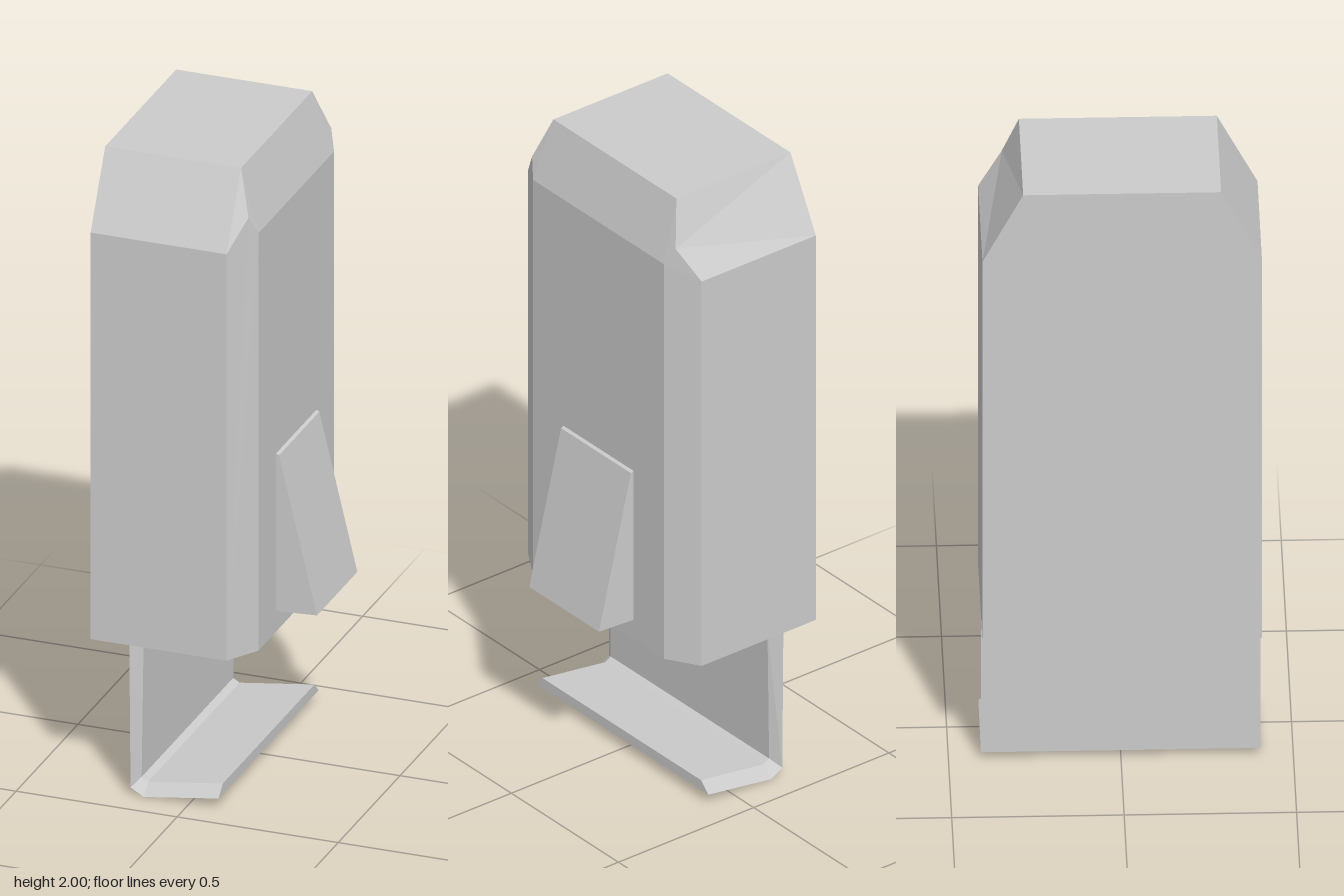
import * as THREE from 'three';

const material = new THREE.MeshStandardMaterial({ color: 0xcccccc, flatShading: true });

// Flat-faced solid from convex polygons, each fanned from its first corner
function facetedMesh(name, polygons) {
  const pos = [];
  for (const p of polygons)
    for (let i = 1; i < p.length - 1; i++) pos.push(...p[0], ...p[i], ...p[i + 1]);
  const geo = new THREE.BufferGeometry();
  geo.setAttribute('position', new THREE.Float32BufferAttribute(pos, 3));
  geo.computeVertexNormals();
  const mesh = new THREE.Mesh(geo, material);
  mesh.name = name;
  return mesh;
}

const flip = ([x, y, z]) => [x, y, -z];
const mirrored = (polys) => [...polys, ...polys.map((p) => p.map(flip).reverse())];

// Tall housing with chamfered outer corners and sloped shoulders
function housing() {
  const P = [-0.305, 0.48, 0.405], Q = [0.117, 0.48, 0.405], R = [0.178, 0.48, 0.305];
  const P1 = [-0.305, 1.775, 0.405], Q1 = [0.117, 1.775, 0.405], R1 = [0.178, 1.81, 0.305];
  const A = [0.158, 1.868, 0.335], T = [0.117, 2, 0.287], U = [-0.305, 2, 0.287];
  const sides = mirrored([
    [P, Q, Q1, P1],      // side wall
    [T, U, P1, Q1, A],   // shoulder
    [Q, R, R1, A, Q1],   // corner chamfer
    [T, A, R1],          // corner facet
  ]);
  return facetedMesh('housing', [
    ...sides,
    [R, flip(R), flip(R1), R1],
    [R1, flip(R1), flip(T), T],
    [U, T, flip(T), flip(U)],
    [P, P1, U, flip(U), flip(P1), flip(P)],
    [P, flip(P), flip(Q), flip(R), R, Q],
  ]);
}

// Bent plate below the housing, with bevelled ends
function tray() {
  const outer = [[-0.185, 0.48], [-0.181, 0.028], [-0.14, 0.004], [0.092, 0.037]];
  const inner = [[-0.154, 0.48], [-0.16, 0.05], [-0.14, 0.038], [0.092, 0.07]];
  const O = outer.map(([x, y]) => [x, y, 0.405]);
  const N = inner.map(([x, y]) => [x, y, 0.37]);
  const polys = [];
  for (let i = 0; i < 3; i++) {
    polys.push([O[i], flip(O[i]), flip(O[i + 1]), O[i + 1]]);
    polys.push([flip(N[i]), N[i], N[i + 1], flip(N[i + 1])]);
    polys.push(...mirrored([[O[i], O[i + 1], N[i + 1], N[i]]]));
  }
  polys.push([O[3], flip(O[3]), flip(N[3]), N[3]]);
  polys.push([O[0], N[0], flip(N[0]), flip(O[0])]);
  return facetedMesh('tray', polys);
}

// Wedge-shaped lever on the housing face
function lever() {
  const profile = [[0.17, 0.545], [0.305, 0.552], [0.187, 1.043], [0.178, 1.048], [0.17, 1.048]];
  const shape = new THREE.Shape(profile.map(([x, y]) => new THREE.Vector2(x, y)));
  const geo = new THREE.ExtrudeGeometry(shape, { depth: 0.326, bevelEnabled: false });
  geo.translate(0, 0, -0.163);
  const mesh = new THREE.Mesh(geo, material);
  mesh.name = 'lever';
  return mesh;
}

export function createModel() {
  const group = new THREE.Group();
  group.name = 'dispenser';
  group.add(housing(), tray(), lever());
  return group;
}
